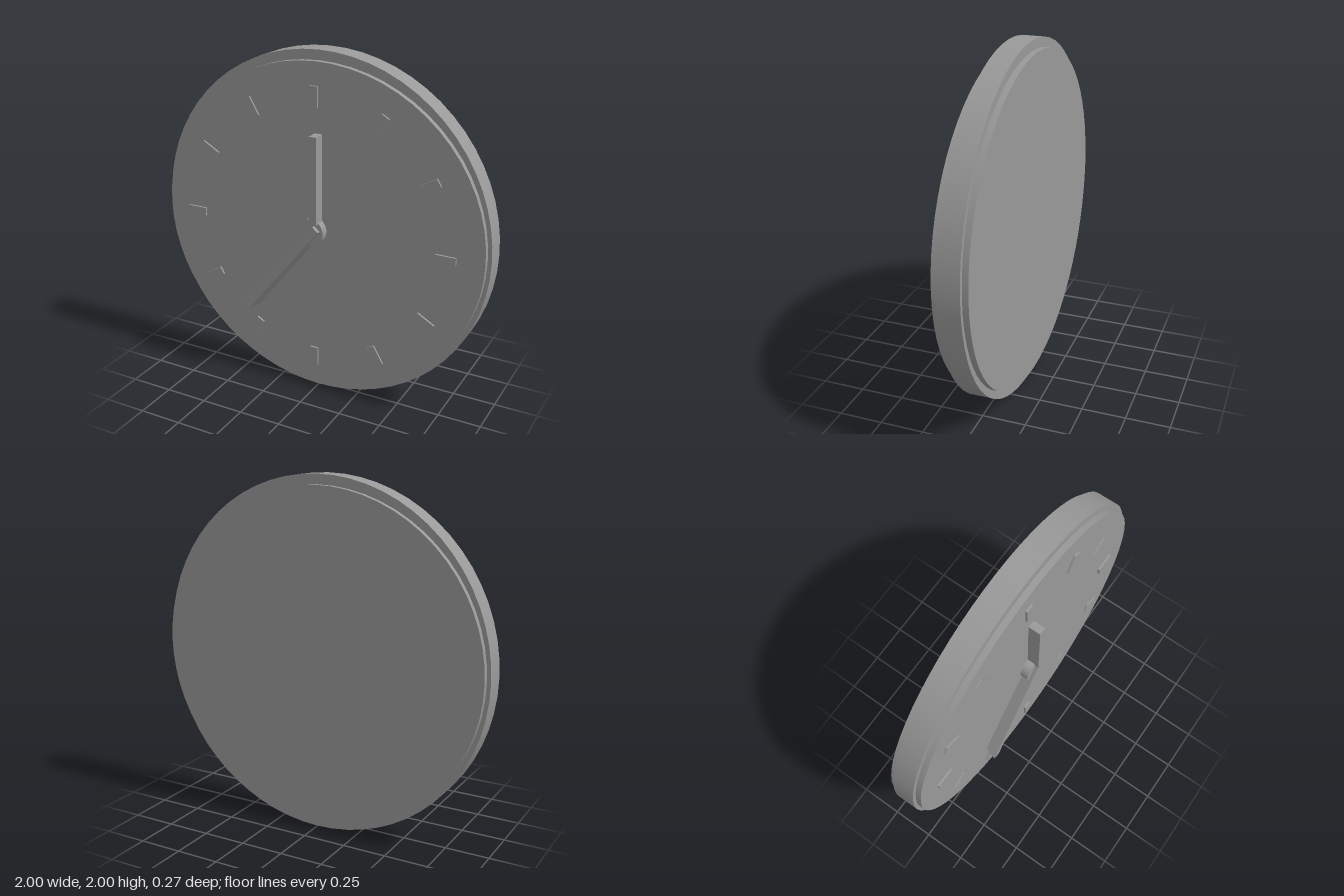
import * as THREE from 'three';

export function createModel() {
  const group = new THREE.Group();
  const grey = new THREE.MeshStandardMaterial({ color: 0x999999 });
  grey.name = 'plain grey';

  const add = (name, geometry) => {
    const mesh = new THREE.Mesh(geometry, grey);
    mesh.name = name;
    group.add(mesh);
    return mesh;
  };

  // Elliptical disc facing +z, spanning z0 to z1
  const disc = (name, rx, ry, x, y, z0, z1, sides) => {
    const geometry = new THREE.CylinderGeometry(1, 1, z1 - z0, sides);
    geometry.rotateX(Math.PI / 2).scale(rx, ry, 1);
    return add(name, geometry.translate(x, y, (z0 + z1) / 2));
  };

  // Case: wide rim around a slightly oval, thicker dial
  disc('rim', 1, 1, 0, 1, -0.102, 0.023, 64);
  disc('dial', 0.978, 0.945, 0, 1, -0.135, 0.056, 64);
  disc('hub', 0.071, 0.079, -0.005, 1.005, 0.05, 0.103, 32);

  // Twelve hour marks
  for (let i = 0; i < 12; i++) {
    const angle = (i * Math.PI) / 6;
    const mark = add('hourMark', new THREE.BoxGeometry(0.115, 0.048, 0.018));
    mark.position.set(-0.01 + 0.775 * Math.cos(angle), 0.984 + 0.775 * Math.sin(angle), 0.059);
    mark.rotation.z = angle;
  }

  // Hour hand, upright above the hub
  add('hourHand', new THREE.BoxGeometry(0.044, 0.497, 0.075).translate(0.017, 1.311, 0.09));

  // Minute hand: a bar leaning sideways, rising slightly towards its tip
  const outline = new THREE.Shape([
    new THREE.Vector2(-0.452, 0.481), new THREE.Vector2(-0.408, 0.455),
    new THREE.Vector2(0.043, 1.018), new THREE.Vector2(0.011, 1.048),
  ]);
  const bar = new THREE.ExtrudeGeometry(outline, { depth: 0.075, bevelEnabled: false });
  const p = bar.attributes.position;
  for (let i = 0; i < p.count; i++) {
    const x = p.getX(i), z = p.getZ(i);
    p.setXYZ(i, x + (0.075 - z) * 0.33, p.getY(i), 0.047 + z - x * 0.022);
  }
  bar.computeVertexNormals();
  add('minuteHand', bar);

  return group;
}
